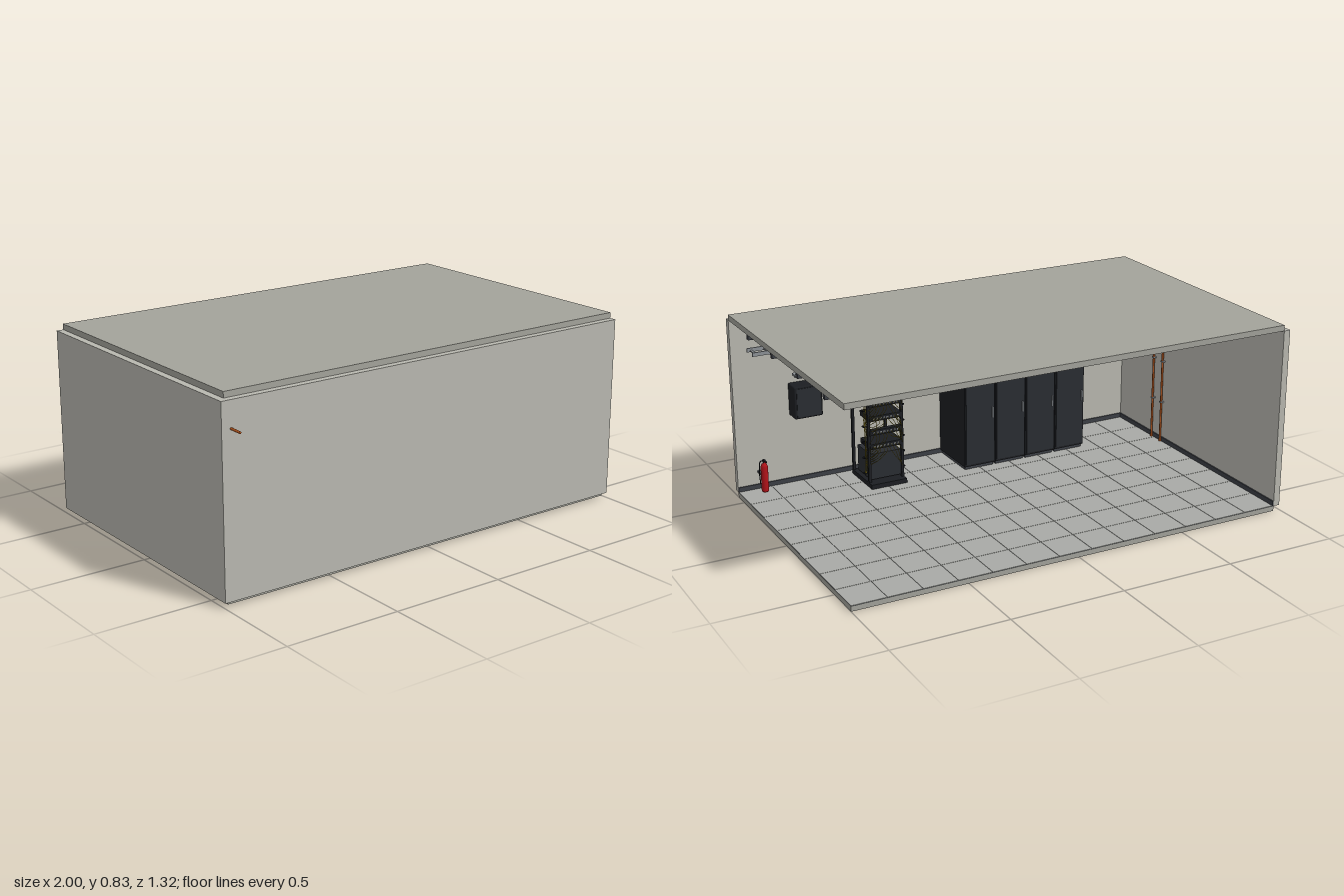
import * as THREE from 'three';
import { RoundedBoxGeometry } from 'three/addons/geometries/RoundedBoxGeometry.js';

const mat = (color) => new THREE.MeshStandardMaterial({ color });
const M = {
  concrete: mat(0xb9b8b0), slab: mat(0xa3a39b), joint: mat(0x55585a), tile: mat(0xa9aaa6), steel: mat(0x3c3f45),
  black: mat(0x1c1e22), panel: mat(0x2a2d32), copper: mat(0xb3561f), red: mat(0xb3141a),
  zinc: mat(0x8d9296), light: mat(0xdedede), yellow: mat(0x8a7a1c), green: mat(0x6d7a2a),
};

function add(parent, name, geo, material, x = 0, y = 0, z = 0) {
  const mesh = new THREE.Mesh(geo, material);
  mesh.name = name;
  mesh.position.set(x, y, z);
  parent.add(mesh);
  return mesh;
}

// Box given by its min and max on each axis
function box(parent, name, material, x0, x1, y0, y1, z0, z1) {
  return add(parent, name, new THREE.BoxGeometry(x1 - x0, y1 - y0, z1 - z0), material,
    (x0 + x1) / 2, (y0 + y1) / 2, (z0 + z1) / 2);
}

// Straight round bar between two points
function bar(parent, name, material, a, b, r) {
  const p = new THREE.Vector3(...a), q = new THREE.Vector3(...b);
  const mesh = add(parent, name, new THREE.CylinderGeometry(r, r, p.distanceTo(q), 14), material);
  mesh.position.copy(p).add(q).multiplyScalar(0.5);
  mesh.quaternion.setFromUnitVectors(new THREE.Vector3(0, 1, 0), q.sub(p).normalize());
  return mesh;
}

function cable(parent, name, material, points, r) {
  const curve = new THREE.CatmullRomCurve3(points.map((p) => new THREE.Vector3(...p)));
  return add(parent, name, new THREE.TubeGeometry(curve, 20, r, 5), material);
}

function group(parent, name) {
  const g = new THREE.Group();
  g.name = name;
  parent.add(g);
  return g;
}

function buildShell(root) {
  const g = group(root, 'roomShell');
  box(g, 'floorSlab', M.slab, -0.97, 1, 0, 0.021, -0.66, 0.57);
  box(g, 'roofSlab', M.slab, -0.97, 1, 0.81, 0.835, -0.66, 0.57);
  box(g, 'frontWall', M.concrete, -0.97, 1, 0.022, 0.81, 0.57, 0.6);
  box(g, 'sideWall', M.concrete, -1, -0.97, 0.022, 0.81, -0.66, 0.6);
  box(g, 'frontSkirting', M.steel, -0.97, 1, 0.022, 0.045, 0.564, 0.57);
  box(g, 'sideSkirting', M.steel, -0.97, -0.964, 0.022, 0.045, -0.66, 0.57);
  // Raised floor tiles over a dark joint layer
  box(g, 'tileJoints', M.joint, -0.97, 1, 0.021, 0.0225, -0.66, 0.57);
  const nx = 13, nz = 8, w = 1.97 / nx, d = 1.23 / nz;
  for (let i = 0; i < nx; i++) for (let j = 0; j < nz; j++) {
    box(g, 'floorTile', M.tile, -0.97 + i * w + 0.001, -0.97 + (i + 1) * w - 0.001, 0.0225, 0.0245,
      -0.66 + j * d + 0.001, -0.66 + (j + 1) * d - 0.001);
  }
  for (const z of [0.368, 0.097, -0.174, -0.445]) {
    box(g, 'ceilingBeam', M.steel, -0.97, 0.99, 0.78, 0.81, z - 0.009, z + 0.009);
  }
}

function buildLights(root) {
  const g = group(root, 'ceilingLights');
  for (const x of [0.8, 0.27, -0.27, -0.8]) {
    box(g, 'lightHousing', M.zinc, x - 0.14, x + 0.14, 0.729, 0.738, -0.019, 0.007);
    box(g, 'lightTube', M.light, x - 0.135, x + 0.135, 0.721, 0.729, -0.011, -0.001);
  }
}

function buildPipes(root) {
  const g = group(root, 'copperPipes'), x = -0.959;
  bar(g, 'horizontalPipe', M.copper, [x, 0.7, -0.175], [x, 0.7, 0.66], 0.005);
  for (const z of [0.278, 0.205]) {
    bar(g, 'verticalPipe', M.copper, [x, 0.022, z], [x, 0.66, z], 0.005);
    for (const y of [0.22, 0.42, 0.62]) box(g, 'pipeClamp', M.zinc, -0.97, x + 0.006, y - 0.003, y + 0.003, z - 0.007, z + 0.007);
  }
}

function buildTray(root) {
  const g = group(root, 'cableTray');
  for (const z of [0.407, 0.473]) box(g, 'trayRail', M.zinc, -0.92, 0.96, 0.69, 0.707, z - 0.003, z + 0.003);
  for (let i = 0; i < 32; i++) {
    const x = -0.9 + i * 0.0594;
    box(g, 'trayRung', M.zinc, x - 0.005, x + 0.005, 0.692, 0.698, 0.407, 0.473);
  }
  for (const x of [0.75, 0.27, -0.21, -0.69]) {
    bar(g, 'hangerRod', M.steel, [x, 0.69, 0.438], [x, 0.81, 0.438], 0.002);
    box(g, 'hangerBracket', M.steel, x - 0.006, x + 0.006, 0.686, 0.692, 0.4, 0.48);
  }
}

function buildCabinets(root) {
  const w = 0.155;
  for (let i = 0; i < 4; i++) {
    const g = group(root, 'serverCabinet'), x1 = 0.017 - i * w, x0 = x1 - w + 0.003;
    box(g, 'cabinetBody', M.black, x0, x1, 0.04, 0.545, 0.315, 0.565);
    box(g, 'cabinetPlinth', M.steel, x0 + 0.005, x1 - 0.005, 0.024, 0.04, 0.325, 0.56);
    box(g, 'cabinetDoor', M.panel, x0 + 0.006, x1 - 0.006, 0.05, 0.535, 0.31, 0.315);
    box(g, 'doorHandle', M.zinc, x0 + 0.012, x0 + 0.017, 0.26, 0.31, 0.305, 0.31);
  }
}

function buildOpenRack(root) {
  const g = group(root, 'openRack'), x0 = 0.305, x1 = 0.475, z0 = 0.345, z1 = 0.53;
  box(g, 'rackBase', M.black, x0, x1, 0.024, 0.045, 0.315, z1);
  for (const x of [x0, x1 - 0.012]) {
    for (const z of [z0, z1 - 0.012]) box(g, 'rackPost', M.black, x, x + 0.012, 0.045, 0.545, z, z + 0.012);
    box(g, 'topSideRail', M.black, x, x + 0.012, 0.543, 0.555, z0, z1);
  }
  for (const z of [z0, z1 - 0.012]) box(g, 'topCrossRail', M.black, x0, x1, 0.543, 0.555, z, z + 0.012);
  // Mounted equipment
  box(g, 'powerUnit', M.panel, x0 + 0.012, x1 - 0.012, 0.055, 0.175, 0.352, 0.49);
  for (let i = 0; i < 5; i++) {
    const y = 0.2 + i * 0.065;
    box(g, 'patchPanel', M.black, x0 + 0.008, x1 - 0.008, y, y + 0.024, z0 - 0.004, z0 + (i % 2 ? 0.02 : 0.1));
    for (let k = 0; k < 8; k++) {
      const px = x0 + 0.028 + k * 0.0163;
      box(g, 'port', M.zinc, px - 0.004, px + 0.004, y + 0.008, y + 0.016, z0 - 0.006, z0 - 0.004);
      // Patch lead looping out of the port to the side of the rack
      const end = k < 4 ? x0 + 0.004 : x1 - 0.004, drop = 0.03 + ((k * 7 + i * 3) % 8) * 0.012;
      cable(g, 'patchLead', M.yellow, [[px, y + 0.012, z0 - 0.004], [px, y, z0 - 0.03 - (k % 3) * 0.005],
        [(px + end) / 2, y - drop * 0.6, z0 - 0.02], [end, y - drop, z0 + 0.01], [end, y - drop - 0.03, z0 + 0.03]], 0.0012);
    }
  }
  // Cable rings on both sides
  for (let i = 0; i < 6; i++) for (const x of [x0 - 0.006, x1 + 0.006]) {
    const y = 0.085 + i * 0.073;
    add(g, 'cableRing', new THREE.TorusGeometry(0.009, 0.0025, 6, 12), M.black, x, y, 0.37).rotation.x = Math.PI / 2;
  }
  for (let i = 0; i < 3; i++) {
    const x = x1 + 0.003 + i * 0.003;
    cable(g, 'cableBundle', M.yellow, [[x, 0.08, 0.365], [x, 0.2, 0.372 - i * 0.012], [x, 0.35, 0.36 + i * 0.004], [x, 0.47, 0.34 + i * 0.01]], 0.0014);
  }
  cable(g, 'groundCable', M.green, [[0.465, 0.47, 0.38], [0.455, 0.54, 0.395], [0.44, 0.62, 0.42], [0.43, 0.665, 0.438], [0.42, 0.7, 0.44]], 0.0018);
}

function buildWallBox(root) {
  const g = group(root, 'wallCabinet');
  add(g, 'wallCabinetBody', new RoundedBoxGeometry(0.13, 0.148, 0.076, 2, 0.006), M.black, 0.684, 0.415, 0.532);
  box(g, 'wallCabinetDoor', M.panel, 0.629, 0.739, 0.35, 0.48, 0.491, 0.495);
}

function buildExtinguisher(root) {
  const g = group(root, 'fireExtinguisher');
  g.position.set(0.9, 0, 0.502);
  const profile = [[0, 0.034], [0.014, 0.034], [0.016, 0.038], [0.016, 0.15], [0.012, 0.161], [0.005, 0.167], [0.005, 0.174], [0, 0.174]];
  add(g, 'tank', new THREE.LatheGeometry(profile.map((p) => new THREE.Vector2(...p)), 20), M.red);
  box(g, 'valve', M.black, -0.005, 0.005, 0.17, 0.182, -0.006, 0.006);
  box(g, 'lever', M.black, -0.003, 0.003, 0.177, 0.182, -0.03, 0.008);
  cable(g, 'hose', M.black, [[0, 0.176, 0.004], [0.012, 0.172, 0.012], [0.02, 0.13, 0.008], [0.019, 0.07, 0.002]], 0.0025);
  box(g, 'wallBracket', M.steel, -0.008, 0.008, 0.1, 0.108, 0.01, 0.068);
}

export function createModel() {
  const root = new THREE.Group();
  root.name = 'serverRoom';
  buildShell(root);
  buildLights(root);
  buildPipes(root);
  buildTray(root);
  buildCabinets(root);
  buildOpenRack(root);
  buildWallBox(root);
  buildExtinguisher(root);
  return root;
}
